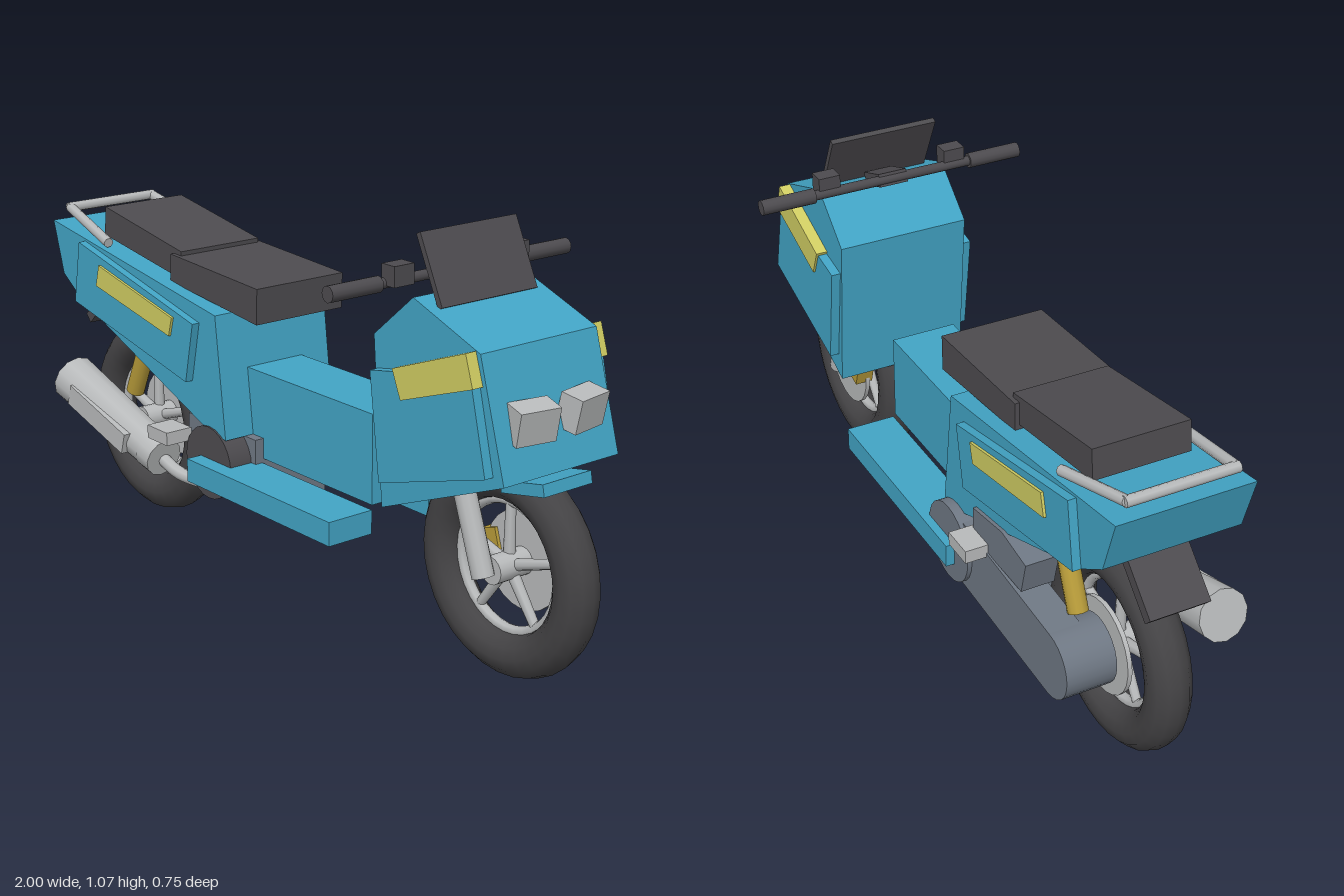
import * as THREE from 'three';

const mat = (name, color) => {
  const m = new THREE.MeshStandardMaterial({ color });
  m.name = name;
  return m;
};

export function createModel() {
  const root = new THREE.Group();
  root.name = 'scooter';
  const blue = mat('bodyBlue', 0x42a4c5), dark = mat('darkGrey', 0x4d4b4f);
  const rubber = mat('tyreRubber', 0x444345), metal = mat('lightMetal', 0xb8babb);
  const slate = mat('slateGrey', 0x6f7884), yellow = mat('stripeYellow', 0xd0cd62);
  const gold = mat('gold', 0xb89c3a);

  const add = (name, geo, material, parent = root) => {
    const m = new THREE.Mesh(geo, material);
    m.name = name;
    parent.add(m);
    return m;
  };
  // side outline in x,y extruded between two z values
  const slab = (name, pts, z0, z1, material) => {
    const shape = new THREE.Shape(pts.map(p => new THREE.Vector2(...p)));
    const geo = new THREE.ExtrudeGeometry(shape, { depth: z1 - z0, bevelEnabled: false, curveSegments: 16 });
    return add(name, geo.translate(0, 0, z0), material);
  };
  const box = (name, size, pos, material, rz = 0, ry = 0) => {
    const m = add(name, new THREE.BoxGeometry(...size), material);
    m.position.set(...pos);
    m.rotation.set(0, ry, rz);
    return m;
  };
  // cylinder or cone running from a to b
  const rod = (name, a, b, ra, rb, material, sides = 12, parent = root) => {
    const A = new THREE.Vector3(...a), B = new THREE.Vector3(...b), d = B.clone().sub(A);
    const m = add(name, new THREE.CylinderGeometry(rb, ra, d.length(), sides), material, parent);
    m.position.copy(A).add(B).multiplyScalar(0.5);
    m.quaternion.setFromUnitVectors(new THREE.Vector3(0, 1, 0), d.normalize());
    return m;
  };

  // wheels with rim, five spokes, hub and brake disc
  const wheel = (name, x, discZ) => {
    const g = new THREE.Group();
    g.name = name;
    g.position.set(x, 0.28, 0);
    root.add(g);
    add('tyre', new THREE.TorusGeometry(0.22, 0.056, 12, 32), rubber, g);
    add('rim', new THREE.TorusGeometry(0.163, 0.014, 8, 32), metal, g);
    rod('hub', [0, 0, -0.06], [0, 0, 0.06], 0.035, 0.035, metal, 16, g);
    rod('brakeDisc', [0, 0, discZ - 0.006], [0, 0, discZ + 0.006], 0.125, 0.125, metal, 24, g);
    for (let i = 0; i < 5; i++) {
      const a = Math.PI / 2 + i * Math.PI * 0.4;
      rod('spoke', [0, 0, 0], [0.17 * Math.cos(a), 0.17 * Math.sin(a), 0], 0.016, 0.012, metal, 8, g);
    }
  };
  wheel('rearWheel', -0.724, -0.045);
  wheel('frontWheel', 0.724, -0.05);
  box('brakeCaliper', [0.05, 0.055, 0.05], [0.62, 0.305, -0.06], gold, 0.3);

  // front fairing, raised side panels and stripes
  slab('frontFairing', [[0.473, 0.393], [0.885, 0.56], [0.80, 0.848], [0.575, 0.93], [0.44, 0.815]], -0.182, 0.182, blue);
  slab('fairingSidePanels', [[0.49, 0.465], [0.85, 0.575], [0.795, 0.80], [0.455, 0.735]], -0.207, 0.207, blue);
  slab('fairingStripes', [[0.57, 0.69], [0.81, 0.775], [0.785, 0.852], [0.54, 0.76]], -0.213, 0.213, yellow);
  box('frontFender', [0.14, 0.03, 0.154], [0.835, 0.52, 0], blue, 0.2);

  // centre tunnel and rear body
  box('centreTunnel', [0.51, 0.236, 0.18], [0.075, 0.452, 0], blue);
  slab('rearBody', [[-0.97, 0.836], [-0.925, 0.69], [-0.835, 0.63], [-0.26, 0.41], [-0.155, 0.39], [-0.195, 0.72]], -0.18, 0.18, blue);
  slab('rearSidePanels', [[-0.835, 0.63], [-0.30, 0.52], [-0.265, 0.686], [-0.805, 0.805]], -0.202, 0.202, blue);
  slab('rearStripes', [[-0.713, 0.70], [-0.365, 0.633], [-0.35, 0.686], [-0.697, 0.76]], -0.209, 0.209, yellow);
  box('plateHolder', [0.2, 0.03, 0.16], [-0.89, 0.6, 0], dark, 0.76);

  // two-step seat
  slab('rearSeat', [[-0.785, 0.82], [-0.42, 0.765], [-0.415, 0.84], [-0.777, 0.90]], -0.128, 0.128, dark);
  slab('frontSeat', [[-0.45, 0.755], [-0.07, 0.715], [-0.067, 0.81], [-0.447, 0.83]], -0.14, 0.14, dark);

  // handlebar, windscreen and steering stem
  rod('handlebar', [0.505, 0.954, -0.23], [0.505, 0.954, 0.23], 0.013, 0.013, dark);
  box('steeringStem', [0.1, 0.035, 0.08], [0.545, 0.94, 0], dark, -0.35);
  box('windscreen', [0.015, 0.18, 0.3], [0.592, 0.99, 0], dark, 0.45);

  // parts mirrored left and right
  for (const s of [1, -1]) {
    rod('handlebarGrip', [0.505, 0.954, s * 0.226], [0.505, 0.954, s * 0.375], 0.02, 0.02, dark);
    box('handlebarControl', [0.045, 0.05, 0.06], [0.522, 0.975, s * 0.182], dark);
    box('headlight', [0.06, 0.085, 0.108], [0.862, 0.687, s * 0.08], metal, -0.2, -s * 0.17);
    rod('frontFork', [0.724, 0.27, s * 0.083], [0.635, 0.52, s * 0.083], 0.028, 0.028, metal);
    box('footboard', [0.595, 0.063, 0.136], [0.037, 0.292, s * 0.162], blue);
    rod('rearShock', [-0.695, 0.38, s * 0.1], [-0.61, 0.57, s * 0.1], 0.026, 0.026, gold);
    box('footPeg', [0.09, 0.036, 0.08], [-0.366, s > 0 ? 0.365 : 0.398, s * 0.212], metal);
    rod('grabRailSide', [-0.71, 0.815, s * 0.165], [-0.945, 0.872, s * 0.138], 0.014, 0.014, metal, 8);
  }
  rod('grabRailBack', [-0.945, 0.872, -0.145], [-0.945, 0.872, 0.145], 0.014, 0.014, metal, 8);

  // engine, clutch cover and airbox
  box('engineBlock', [0.3, 0.195, 0.234], [-0.26, 0.293, 0], slate);
  rod('clutchCover', [-0.227, 0.312, 0.11], [-0.227, 0.312, 0.185], 0.1, 0.1, dark, 24);
  slab('airbox', [[-0.58, 0.39], [-0.33, 0.39], [-0.33, 0.475], [-0.48, 0.5], [-0.6, 0.48]], -0.19, -0.1, slate);

  // belt case with round ends
  slab('beltCase', [[-0.725, 0.19], [-0.227, 0.215], [-0.227, 0.405], [-0.725, 0.37]], -0.195, -0.11, slate);
  rod('beltCaseFront', [-0.227, 0.31, -0.207], [-0.227, 0.31, -0.1], 0.108, 0.108, slate, 24);
  rod('beltCaseRear', [-0.725, 0.28, -0.195], [-0.725, 0.28, -0.06], 0.09, 0.09, slate, 24);

  // exhaust silencer, heat shield and pipe
  rod('silencer', [-0.875, 0.39, 0.188], [-0.46, 0.272, 0.182], 0.068, 0.055, metal, 12);
  rod('silencerCollar', [-0.49, 0.28, 0.182], [-0.44, 0.266, 0.182], 0.058, 0.055, metal, 12);
  box('heatShield', [0.28, 0.06, 0.02], [-0.67, 0.332, 0.242], metal, -0.277);
  const pipe = new THREE.CatmullRomCurve3([[-0.45, 0.262, 0.18], [-0.38, 0.235, 0.17], [-0.26, 0.225, 0.13], [-0.17, 0.23, 0.08]]
    .map(p => new THREE.Vector3(...p)));
  add('exhaustPipe', new THREE.TubeGeometry(pipe, 16, 0.018, 8), metal);

  return root;
}
